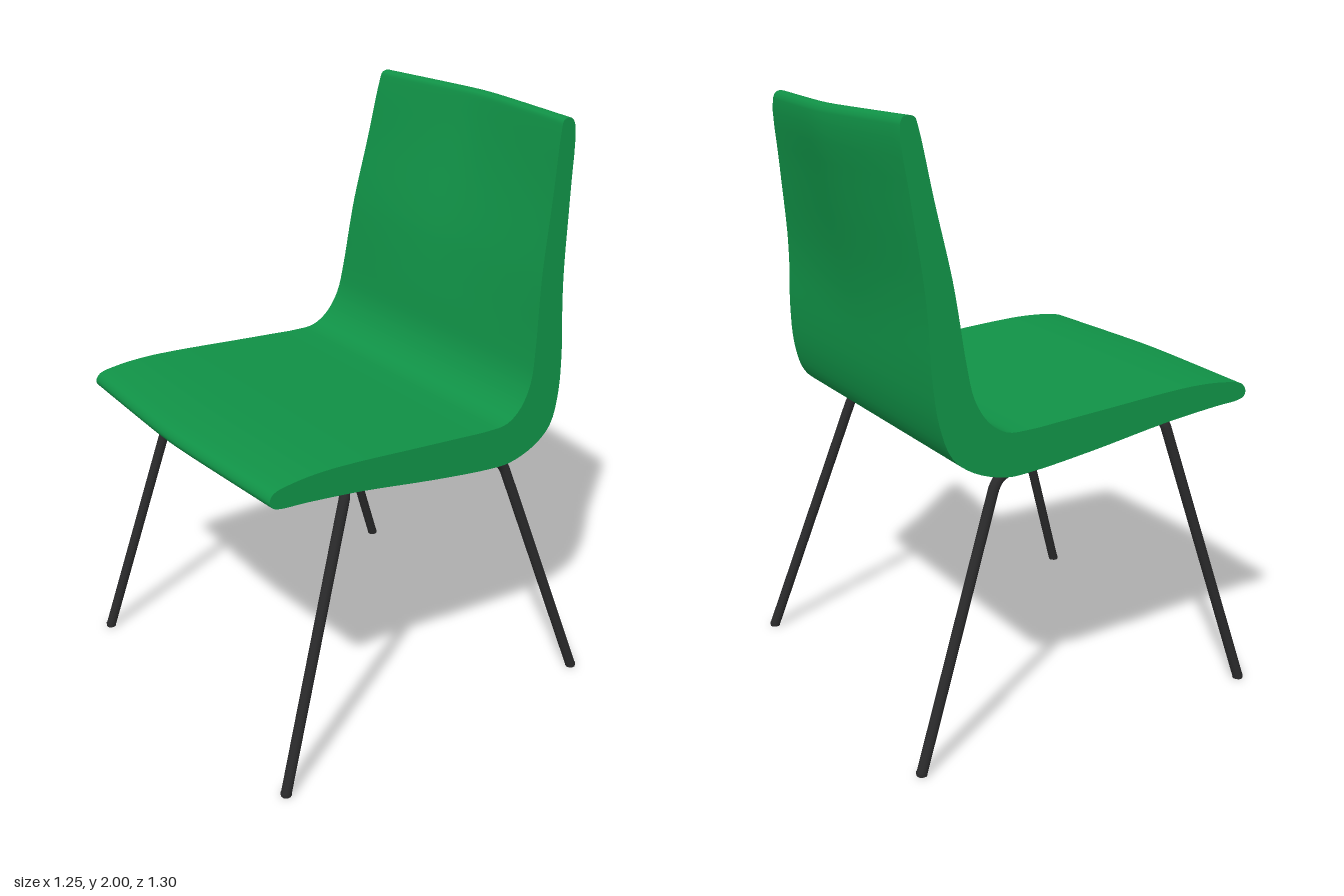
import * as THREE from 'three';

const green = new THREE.MeshStandardMaterial({ color: 0x109146 });
green.name = 'shellGreen';
const black = new THREE.MeshStandardMaterial({ color: 0x2a2a2b });
black.name = 'frameBlack';

// Side profile of the shell as [z, y]: over the seat, up the backrest, down behind, back underneath
const PROFILE = [
  [0.625, 1.04], [0.61, 1.064], [0.54, 1.079], [0.43, 1.085], [0.3, 1.08], [0.1, 1.065],
  [-0.1, 1.05], [-0.22, 1.042], [-0.3, 1.046], [-0.36, 1.085], [-0.405, 1.16], [-0.427, 1.27],
  [-0.445, 1.42], [-0.46, 1.53], [-0.505, 1.76], [-0.542, 1.965], [-0.553, 1.996], [-0.585, 1.999],
  [-0.6, 1.975], [-0.58, 1.76], [-0.553, 1.52], [-0.546, 1.4], [-0.544, 1.25], [-0.528, 1.1],
  [-0.49, 0.995], [-0.42, 0.94], [-0.31, 0.907], [-0.22, 0.909], [0, 0.936], [0.3, 0.982],
  [0.5, 1.004], [0.595, 1.012], [0.618, 1.022],
];

const halfWidth = (y) => 0.57 - (y - 0.9) * 0.09;

// Shell point at u (-1..1 across the width): the front edge and backrest bow outward at the centre
function shellPoint(u, p) {
  const bow = 1 - (Math.sqrt(u * u + 0.03) - Math.sqrt(0.03)) / (Math.sqrt(1.03) - Math.sqrt(0.03));
  const back = 0.048 * THREE.MathUtils.clamp((p.y - 1.3) / 0.6, 0, 1);
  const front = 0.025 * THREE.MathUtils.clamp((p.x - 0.3) / 0.3, 0, 1);
  return [u * halfWidth(p.y), p.y, p.x + bow * (front - back)];
}

function makeGeometry(positions, index) {
  const g = new THREE.BufferGeometry();
  g.setAttribute('position', new THREE.Float32BufferAttribute(positions, 3));
  g.setIndex(index);
  g.computeVertexNormals();
  return g;
}

function addMesh(parent, name, geometry, material) {
  const mesh = new THREE.Mesh(geometry, material);
  mesh.name = name;
  parent.add(mesh);
  return mesh;
}

function buildShell() {
  const group = new THREE.Group();
  group.name = 'seatShell';
  const curve = new THREE.CatmullRomCurve3(PROFILE.map(([z, y]) => new THREE.Vector3(z, y, 0)), true);
  const n = PROFILE.length * 4;
  const outline = [];
  for (let j = 0; j < n; j++) {
    const p = curve.getPoint(j / n);
    outline.push(new THREE.Vector2(p.x, p.y));
  }

  // Upholstered surface swept across the width
  const cols = 24, pos = [], index = [];
  for (let i = 0; i <= cols; i++) {
    for (const p of outline) pos.push(...shellPoint(-1 + (2 * i) / cols, p));
  }
  for (let i = 0; i < cols; i++) {
    for (let j = 0; j < n; j++) {
      const k = (j + 1) % n;
      const a = i * n + j, b = a + n, c = i * n + k, d = c + n;
      index.push(a, b, c, b, d, c);
    }
  }
  addMesh(group, 'shellSurface', makeGeometry(pos, index), green);

  // Flat side panels
  const faces = THREE.ShapeUtils.triangulateShape(outline, []);
  for (const side of [-1, 1]) {
    const points = outline.flatMap((p) => shellPoint(side, p));
    const tris = faces.flatMap(([a, b, c]) => (side < 0 ? [a, b, c] : [a, c, b]));
    addMesh(group, side < 0 ? 'rightSidePanel' : 'leftSidePanel', makeGeometry(points, tris), green);
  }
  return group;
}

// Bent rod following straight runs with rounded corners
function rodPath(points, bend) {
  const path = new THREE.CurvePath();
  const v = points.map((p) => new THREE.Vector3(...p));
  let from = v[0];
  for (let i = 1; i < v.length - 1; i++) {
    const before = v[i].clone().add(v[i - 1].clone().sub(v[i]).setLength(bend));
    const after = v[i].clone().add(v[i + 1].clone().sub(v[i]).setLength(bend));
    path.add(new THREE.LineCurve3(from, before));
    path.add(new THREE.QuadraticBezierCurve3(before, v[i], after));
    from = after;
  }
  path.add(new THREE.LineCurve3(from, v[v.length - 1]));
  return path;
}

// One rod makes a left leg, the crossbar and a right leg; half is the left side from foot to bar
function buildLegFrame(name, half, bend) {
  const group = new THREE.Group();
  group.name = name;
  const mirrored = half.map(([x, y, z]) => [-x, y, z]).reverse();
  const path = rodPath([...half, ...mirrored], bend);
  addMesh(group, name + 'Rod', new THREE.TubeGeometry(path, 260, 0.018, 10), black);
  for (const side of [-1, 1]) {
    const foot = addMesh(group, 'foot', new THREE.CylinderGeometry(0.018, 0.018, 0.012, 10), black);
    foot.position.set(side * half[0][0], 0.006, half[0][2]);
  }
  return group;
}

export function createModel() {
  const chair = new THREE.Group();
  chair.name = 'chair';
  chair.add(buildShell());
  chair.add(buildLegFrame('frontLegs', [[0.605, 0.006, 0.615], [0.518, 0.967, 0.322]], 0.02));
  chair.add(buildLegFrame('backLegs', [[0.605, 0.006, -0.633], [0.522, 0.9, -0.315], [0.515, 0.914, -0.22]], 0.05));
  return chair;
}
